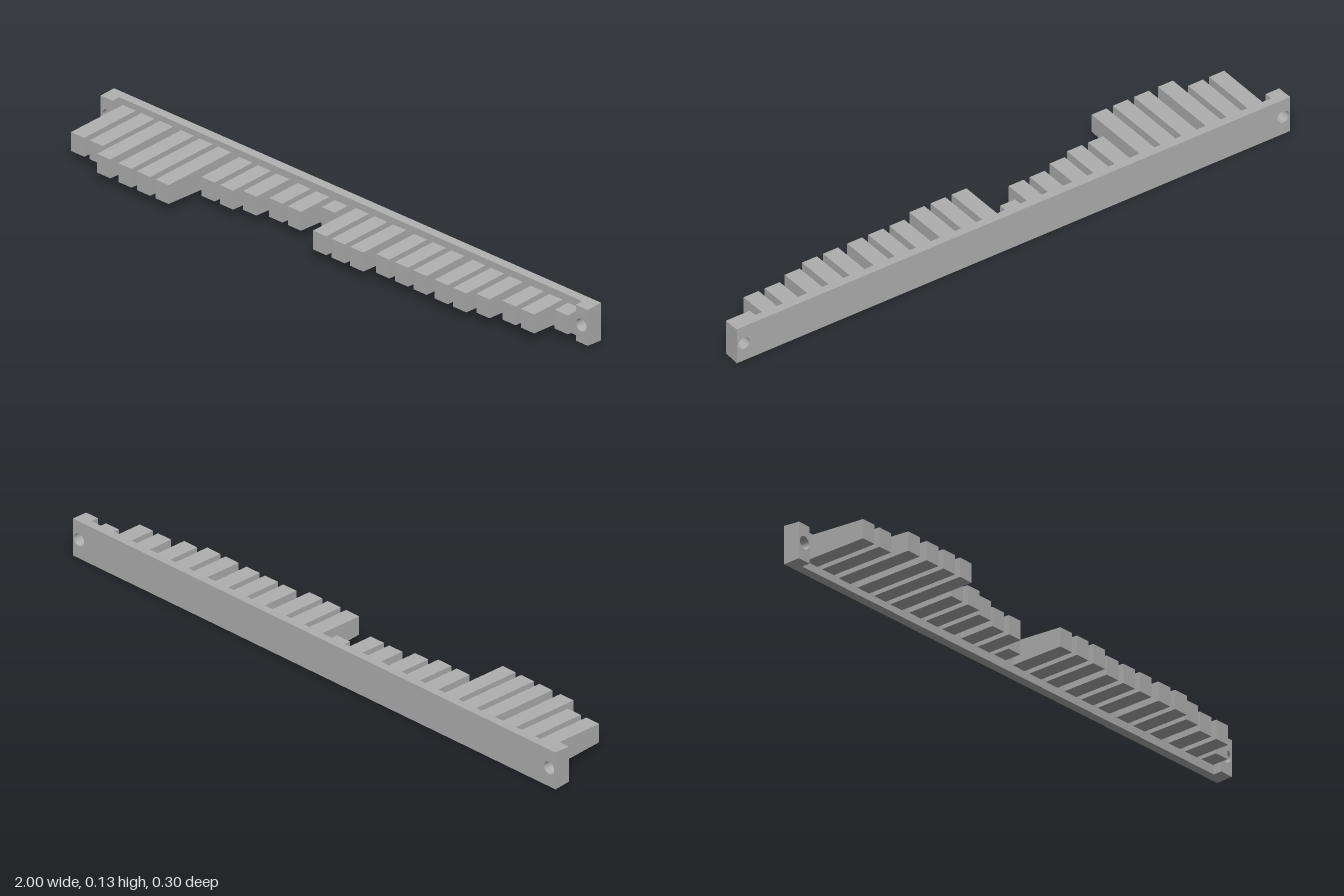
import * as THREE from 'three';

const MID = 0.063;      // mid height of the strip
const BACK = -0.149;    // rear face of the rail
const SHOULDER = -0.12; // front face of the rail

// Rectangle centred on x, with round screw holes, extruded along z.
function plate(x0, x1, z0, z1, holes) {
  const shape = new THREE.Shape();
  shape.moveTo(x0, -MID).lineTo(x1, -MID).lineTo(x1, MID).lineTo(x0, MID).closePath();
  for (const x of holes) {
    shape.holes.push(new THREE.Path().absarc(x, 0, 0.021, 0, Math.PI * 2, true));
  }
  const geo = new THREE.ExtrudeGeometry(shape, { depth: z1 - z0, bevelEnabled: false, curveSegments: 24 });
  geo.translate(0, 0, z0);
  // draft: top and bottom edges close in slightly towards the front
  const p = geo.attributes.position;
  for (let i = 0; i < p.count; i++) {
    const y = p.getY(i);
    if (Math.abs(y) > 0.05) p.setY(i, y - Math.sign(y) * (p.getZ(i) - BACK) * 0.055);
  }
  geo.translate(0, MID, 0);
  geo.computeVertexNormals();
  return geo;
}

// Tooth with a fixed tip height that thickens by a constant draft towards the rail.
function tooth(x, tip) {
  const base = SHOULDER - 0.004;
  const geo = new THREE.BoxGeometry(0.054, 0.063, tip - base);
  geo.translate(0, 0, (tip + base) / 2);
  const p = geo.attributes.position;
  for (let i = 0; i < p.count; i++) {
    const y = p.getY(i);
    p.setY(i, y + Math.sign(y) * (tip - p.getZ(i)) * 0.035);
  }
  geo.translate(x, 0.0645, 0);
  geo.computeVertexNormals();
  return geo;
}

export function createModel() {
  const model = new THREE.Group();
  model.name = 'toothedStrip';
  const grey = new THREE.MeshStandardMaterial({ color: 0xb0b0b0 });
  grey.name = 'lightGrey';
  const add = (geo, name) => {
    const mesh = new THREE.Mesh(geo, grey);
    mesh.name = name;
    model.add(mesh);
  };

  // long backing rail and the raised lugs around the screw holes
  add(plate(-1, 1, BACK, SHOULDER, [-0.974, 0.974]), 'rail');
  add(plate(-1, -0.951, SHOULDER, -0.092, [-0.974]), 'rightLug');
  add(plate(0.951, 1, SHOULDER, -0.092, [0.974]), 'leftLug');

  // eight groups of three teeth, by front end position
  const tips = [
    0.102, 0.102, 0.149, 0.149, 0.149, 0.149, 0.043, 0.043, 0.023, 0.002, 0.002, -0.063,
    0.064, 0.064, 0.064, 0.043, 0.043, 0.043, 0.043, 0.043, 0.023, 0.002, 0.002, -0.063,
  ];
  tips.forEach((tip, i) => {
    const x = -0.909 + Math.floor(i / 3) * 0.2394 + (i % 3) * 0.0762;
    add(tooth(x, tip), `tooth${i + 1}`);
  });
  return model;
}
